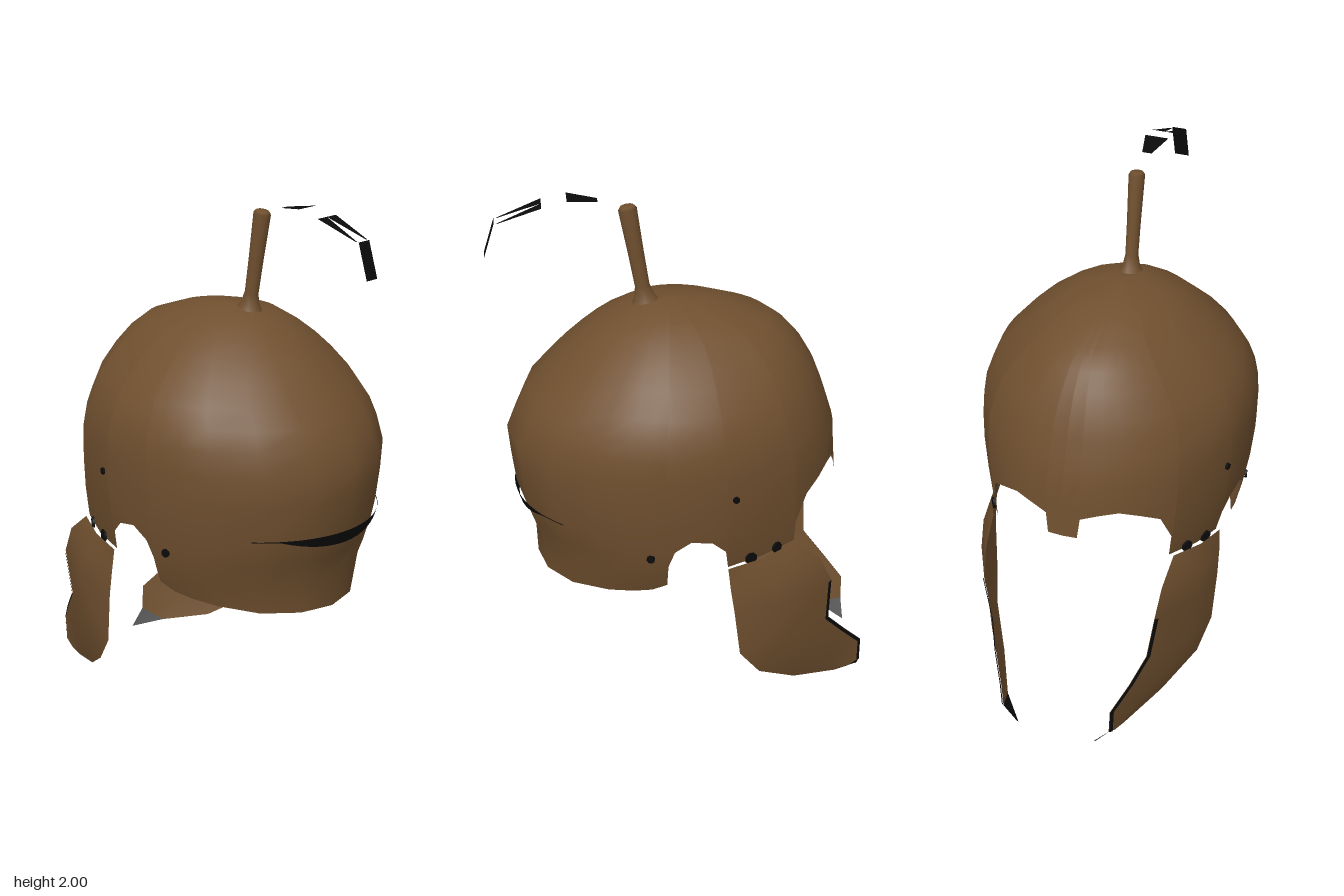
import * as THREE from 'three';

// dome levels: y, half width, front z, back z
const LEVELS = [
  [1.597, 0, 0.04, 0.03], [1.59, 0.07, 0.14, -0.09], [1.565, 0.17, 0.21, -0.2], [1.515, 0.25, 0.3, -0.34],
  [1.46, 0.32, 0.37, -0.41], [1.4, 0.38, 0.44, -0.46], [1.32, 0.45, 0.51, -0.505], [1.25, 0.48, 0.575, -0.532],
  [1.18, 0.505, 0.607, -0.555], [1.09, 0.507, 0.648, -0.583], [0.98, 0.505, 0.638, -0.59],
  [0.85, 0.49, 0.622, -0.6], [0.75, 0.472, 0.59, -0.6], [0.66, 0.45, 0.555, -0.6], [0.53, 0.4, 0.55, -0.6],
];
// rim: angle in degrees from the front, height of the edge
const RIM = [
  [0, 0.53], [20, 0.533], [40, 0.54], [59, 0.56], [70, 0.575], [78, 0.59], [84, 0.62], [84.5, 0.72], [87, 0.79],
  [92.7, 0.835], [100, 0.82], [104.7, 0.77], [105.7, 0.69], [118.4, 0.71], [133, 0.73], [133.5, 0.82],
  [139.6, 0.92], [148, 0.955], [157, 0.98], [165, 0.97], [172.5, 0.95], [173.5, 0.87], [180, 0.87],
];

// point on the dome at an angle (degrees) and height, pushed out by off
function domePoint(deg, y, off = 0) {
  let i = 0;
  while (i < LEVELS.length - 2 && LEVELS[i + 1][0] > y) i++;
  const a = LEVELS[i], b = LEVELS[i + 1];
  const t = THREE.MathUtils.clamp((a[0] - y) / (a[0] - b[0]), 0, 1);
  const [w, zf, zb] = [1, 2, 3].map((k) => a[k] + (b[k] - a[k]) * t);
  const phi = THREE.MathUtils.degToRad(deg), c = Math.cos(phi);
  const semi = c > 0 ? zf - 0.03 : 0.03 - zb;
  return [(w + off) * Math.sin(phi), y, 0.03 + (semi + off) * c];
}

// surface through rows of points of equal length
function sheet(rows) {
  const n = rows[0].length, index = [];
  for (let r = 0; r < rows.length - 1; r++) {
    for (let i = 0; i < n - 1; i++) {
      const a = r * n + i, b = a + n;
      index.push(a, b, a + 1, a + 1, b, b + 1);
    }
  }
  const g = new THREE.BufferGeometry();
  g.setAttribute('position', new THREE.Float32BufferAttribute(rows.flat(2), 3));
  g.setIndex(index);
  g.computeVertexNormals();
  return g;
}

export function createModel() {
  const bronze = new THREE.MeshStandardMaterial({ color: 0x70502f, side: THREE.DoubleSide });
  bronze.name = 'bronze';
  const black = new THREE.MeshStandardMaterial({ color: 0x0b0b0b, side: THREE.DoubleSide });
  black.name = 'black';

  const model = new THREE.Group();
  model.name = 'helmet';
  const add = (name, geometry, material, parent = model) => {
    const mesh = new THREE.Mesh(geometry, material);
    mesh.name = name;
    parent.add(mesh);
    return mesh;
  };

  // dome with neck guard, ear notches, eye arches and nose guard; two mirrored halves share one sheet
  const columns = [...RIM.slice(1).reverse().map(([d, y]) => [-d, y]), ...RIM];
  add('dome', sheet(columns.map(([d, rim]) => LEVELS.map((l) => domePoint(d, Math.max(l[0], rim))))), bronze);

  // dark crescent above the neck guard
  const crescent = [];
  for (let d = -44; d <= 44; d += 4) {
    const drop = 0.004 + 0.046 * Math.max(0, 1 - (d / 33) ** 2);
    crescent.push([domePoint(d, 0.852, 0.006), domePoint(d, 0.852 - drop, 0.006)]);
  }
  add('neckCrease', sheet(crescent), black);

  // crest post
  const profile = [[0.055, 0], [0.036, 0.03], [0.027, 0.07], [0.029, 0.2], [0.034, 0.375], [0.026, 0.385], [0, 0.385]];
  const post = add('crestPost', new THREE.LatheGeometry(profile.map(([r, y]) => new THREE.Vector2(r, y)), 12), bronze);
  post.position.set(0, 1.578, 0.122);
  post.rotation.x = 0.165;
  post.scale.x = 0.88;

  // loose crest pieces
  const crest = new THREE.Group();
  crest.name = 'crest';
  model.add(crest);
  add('crestFront', sheet([
    [[-0.018, 1.985, 0.29], [0.018, 1.985, 0.29]],
    [[-0.045, 2, 0.4], [0.045, 2, 0.4]],
  ]), black, crest);
  for (const s of [-1, 1]) {
    add('crestFork', sheet([
      [[s * 0.048, 1.98, 0.49], [0, 1.98, 0.49]],
      [[s * 0.03, 1.92, 0.65], [s * 0.024, 1.92, 0.65]],
    ]), black, crest);
  }
  add('crestTail', sheet([
    [[-0.028, 1.92, 0.66], [0.028, 1.92, 0.66]],
    [[-0.028, 1.79, 0.7], [0.028, 1.79, 0.7]],
  ]), black, crest);

  // cheek guard rows: leading edge, middle, trailing edge
  const cheek = [
    [[0.455, 0.69, -0.14], [0.425, 0.71, -0.27], [0.36, 0.73, -0.4]],
    [[0.46, 0.6, -0.15], [0.44, 0.63, -0.32], [0.35, 0.65, -0.5]],
    [[0.46, 0.5, -0.165], [0.44, 0.52, -0.35], [0.34, 0.54, -0.55]],
    [[0.45, 0.3, -0.19], [0.42, 0.33, -0.36], [0.31, 0.35, -0.55]],
    [[0.42, 0.19, -0.27], [0.36, 0.22, -0.46], [0.27, 0.26, -0.625]],
    [[0.33, 0.09, -0.42], [0.28, 0.12, -0.56], [0.22, 0.17, -0.7]],
    [[0.24, 0.04, -0.6], [0.225, 0.05, -0.66], [0.215, 0.07, -0.7]],
  ];
  const edge = cheek.slice(2).map((row) => {
    const [x, y, z] = row[2];
    return [[x + 0.002, y, z], [x + 0.012, y - 0.004, z + 0.012]];
  });
  // studs: angle, height, radius
  const studs = [[78, 0.76, 0.016], [114, 0.715, 0.024], [124.5, 0.732, 0.022], [108, 1.005, 0.013]];

  for (const [side, s] of [['left', 1], ['right', -1]]) {
    const half = new THREE.Group();
    half.name = side + 'Side';
    half.scale.x = s;
    model.add(half);
    add('cheekGuard', sheet(cheek), bronze, half);
    add('cheekEdge', sheet(edge), black, half);
    add('cheekTip', sheet([
      [cheek[6][0], cheek[6][2]],
      [[0.155, 0.005, -0.7], [0.16, 0.005, -0.7]],
    ]), black, half);
    for (const [d, y, r] of studs) {
      const stud = add('stud', new THREE.CylinderGeometry(r, r, 0.009, 8), black, half);
      const p = new THREE.Vector3(...domePoint(d, y, 0.004));
      const out = new THREE.Vector3(...domePoint(d, y, 0.1)).sub(p).normalize();
      stud.position.copy(p);
      stud.quaternion.setFromUnitVectors(new THREE.Vector3(0, 1, 0), out);
    }
  }
  return model;
}
